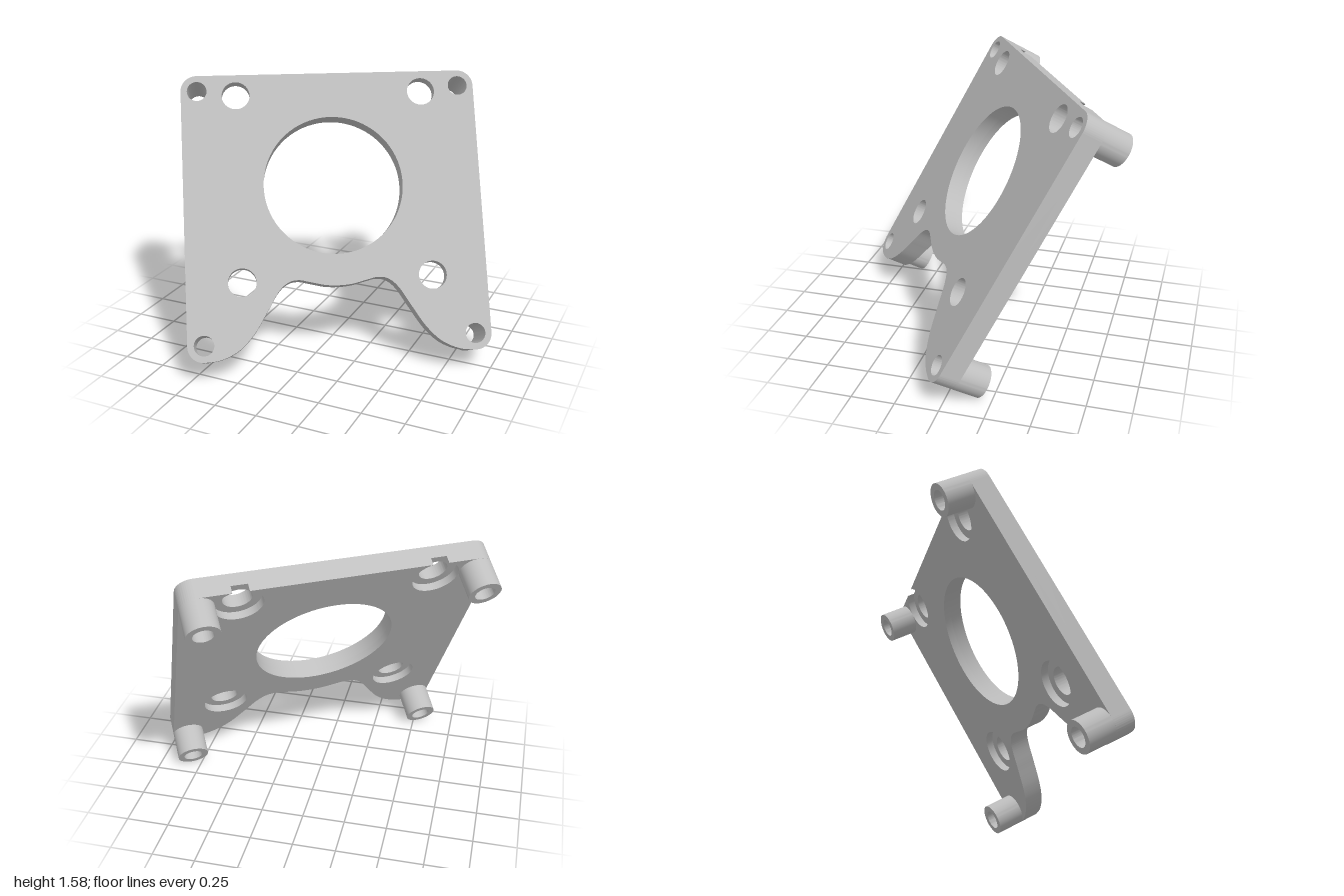
import * as THREE from 'three';
import { toCreasedNormals } from 'three/addons/utils/BufferGeometryUtils.js';

const POST_X = 0.77, POST_TOP = 0.577, POST_BOTTOM = -0.89, POST_R = 0.093, BORE_R = 0.057;
const MOUNT = 0.546, MOUNT_R = 0.081, RECESS_R = 0.132;
const WINDOW_R = 0.404, TOP = POST_TOP + POST_R, SIDE = POST_X + POST_R;
const THICKNESS = 0.12, RECESS_DEPTH = 0.045, POST_END = 0.288;

// Right half of the lower edge, from the centre out to the foot
const LOWER_EDGE = [
  [0, -0.584], [0.08, -0.578], [0.16, -0.559], [0.23, -0.545], [0.29, -0.559], [0.345, -0.61],
  [0.41, -0.715], [0.49, -0.84], [0.575, -0.925], [0.675, -0.972], [POST_X, POST_BOTTOM - POST_R],
];

function circle(x, y, r) {
  return new THREE.Path().absarc(x, y, r, 0, Math.PI * 2, true);
}

// Plate outline; with notched = true the upper recesses break through the top edge
function plateShape(notched) {
  const s = new THREE.Shape();
  s.moveTo(SIDE, POST_BOTTOM);
  s.lineTo(SIDE, POST_TOP);
  s.absarc(POST_X, POST_TOP, POST_R, 0, Math.PI / 2, false);
  if (notched) {
    const a = Math.asin((TOP - MOUNT) / RECESS_R);
    for (const x of [MOUNT, -MOUNT]) s.absarc(x, MOUNT, RECESS_R, a, Math.PI - a, true);
  }
  s.absarc(-POST_X, POST_TOP, POST_R, Math.PI / 2, Math.PI, false);
  s.absarc(-POST_X, POST_BOTTOM, POST_R, Math.PI, Math.PI * 1.5, false);
  const left = LOWER_EDGE.slice(1, -1).reverse().map(([x, y]) => new THREE.Vector2(-x, y));
  const right = LOWER_EDGE.map(([x, y]) => new THREE.Vector2(x, y));
  s.splineThru([...left, ...right]);
  s.absarc(POST_X, POST_BOTTOM, POST_R, -Math.PI / 2, 0, false);

  s.holes.push(circle(0, 0, WINDOW_R));
  for (const x of [-1, 1]) {
    s.holes.push(circle(x * POST_X, POST_TOP, BORE_R), circle(x * POST_X, POST_BOTTOM, BORE_R));
    s.holes.push(circle(x * MOUNT, -MOUNT, notched ? RECESS_R : MOUNT_R));
    if (!notched) s.holes.push(circle(x * MOUNT, MOUNT, MOUNT_R));
  }
  return s;
}

// Extrude a shape between two depths behind the front face
function slab(shape, from, to) {
  const g = new THREE.ExtrudeGeometry(shape, { depth: to - from, bevelEnabled: false, curveSegments: 40 });
  g.translate(0, 0, -to);
  return toCreasedNormals(g, 0.6);
}

export function createModel() {
  const metal = new THREE.MeshStandardMaterial({ color: 0xbfbfbf });
  metal.name = 'light grey';
  const model = new THREE.Group();
  model.name = 'mountingBracket';

  const add = (name, geometry) => {
    const mesh = new THREE.Mesh(geometry, metal);
    mesh.name = name;
    model.add(mesh);
    return mesh;
  };

  // Plate in two layers, the rear one carrying the wide recesses
  add('frontPlate', slab(plateShape(false), 0, THICKNESS - RECESS_DEPTH));
  add('recessedBackPlate', slab(plateShape(true), THICKNESS - RECESS_DEPTH, THICKNESS));

  // Four hollow standoff posts behind the corners
  const ring = new THREE.Shape().absarc(0, 0, POST_R, 0, Math.PI * 2, false);
  ring.holes.push(circle(0, 0, BORE_R));
  const postGeometry = slab(ring, THICKNESS, POST_END);
  for (const [side, x] of [['left', POST_X], ['right', -POST_X]]) {
    for (const [level, y] of [['Upper', POST_TOP], ['Lower', POST_BOTTOM]]) {
      add(side + level + 'Post', postGeometry).position.set(x, y, 0);
    }
  }

  // Lean back and turn the whole bracket
  model.rotation.set(-Math.PI / 6, Math.PI / 6, 0, 'YXZ');
  model.position.set(0.02, 1, 0.035);
  const root = new THREE.Group();
  root.name = 'bracket';
  root.add(model);
  return root;
}
